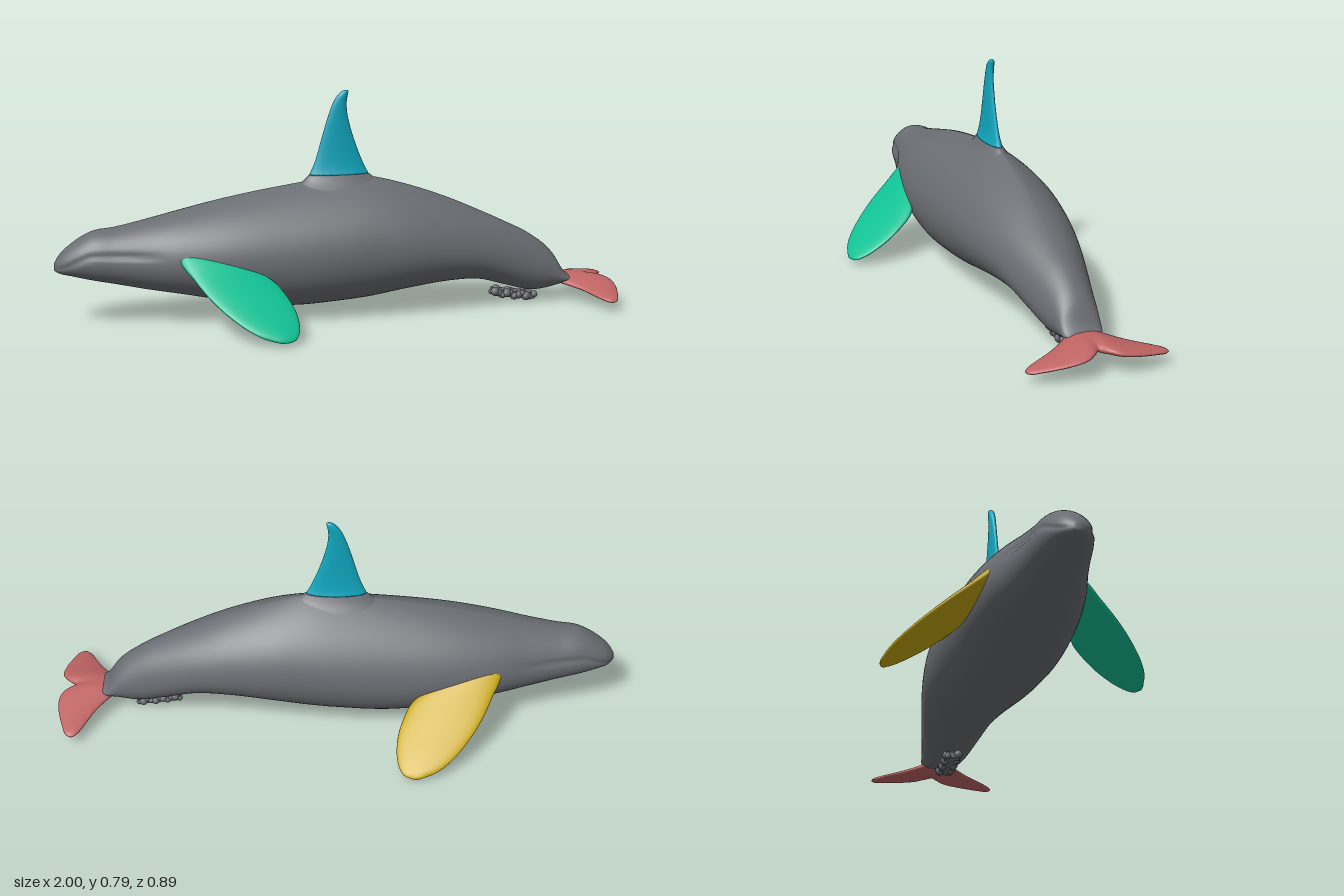
import * as THREE from 'three';

const SKIN = 0x6a6d72;

function part(name, geometry, color) {
  const mesh = new THREE.Mesh(geometry, new THREE.MeshStandardMaterial({ color }));
  mesh.name = name;
  return mesh;
}

// Smoothly interpolates rows of [position, ...values], with several steps per row.
function refine(rows, steps) {
  const size = rows[0].length - 1;
  const keys = rows.map(r => r[0]);
  const spline = new THREE.CubicInterpolant(
    keys, rows.flatMap(r => r.slice(1)), size, new Float64Array(size));
  const out = [];
  for (let i = 0; i < keys.length - 1; i++) {
    for (let s = 0; s < steps; s++) {
      const k = THREE.MathUtils.lerp(keys[i], keys[i + 1], s / steps);
      out.push([k, ...spline.evaluate(k)]);
    }
  }
  out.push(rows[rows.length - 1]);
  return out;
}

// Skins closed rings of equal length, caps both ends and turns the faces outward.
function loft(rings) {
  const n = rings[0].length;
  const points = rings.flat();
  const index = [];
  for (let i = 0; i < rings.length - 1; i++) {
    for (let j = 0; j < n; j++) {
      const a = i * n + j, b = i * n + (j + 1) % n;
      index.push(a, a + n, b, b, a + n, b + n);
    }
  }
  for (const end of [0, rings.length - 1]) {
    const centre = new THREE.Vector3();
    rings[end].forEach(p => centre.addScaledVector(p, 1 / n));
    const c = points.push(centre) - 1;
    for (let j = 0; j < n; j++) {
      const a = end * n + j, b = end * n + (j + 1) % n;
      if (end === 0) index.push(c, a, b);
      else index.push(c, b, a);
    }
  }
  let volume = 0;
  const cross = new THREE.Vector3();
  for (let i = 0; i < index.length; i += 3) {
    cross.crossVectors(points[index[i + 1]], points[index[i + 2]]);
    volume += points[index[i]].dot(cross);
  }
  if (volume < 0) index.reverse();
  const geometry = new THREE.BufferGeometry().setFromPoints(points);
  geometry.setIndex(index);
  geometry.computeVertexNormals();
  return geometry;
}

// A fin from rows of [span, leadingX, trailingX, halfThickness];
// place(x, span, t) turns each outline point into a position.
function fin(rows, steps, place) {
  const sides = 28;
  return loft(refine(rows, steps).map(([span, lead, trail, thick]) =>
    Array.from({ length: sides }, (_, j) => {
      const a = j / sides * Math.PI * 2;
      const x = (lead + trail) / 2 - Math.cos(a) * (trail - lead) / 2;
      return place(x, span, Math.sin(a) * thick);
    })));
}

// Body: x, belly y, back y, half width, sharpness of the back
function bodyGeometry() {
  const rows = refine([
    [-1, 0.195, 0.218, 0.012, 1], [-0.985, 0.186, 0.243, 0.036, 1],
    [-0.94, 0.175, 0.285, 0.066, 1], [-0.87, 0.158, 0.325, 0.09, 1],
    [-0.79, 0.142, 0.337, 0.106, 1], [-0.685, 0.12, 0.36, 0.131, 1.1],
    [-0.57, 0.1, 0.388, 0.164, 1.2], [-0.4, 0.068, 0.427, 0.193, 1.35],
    [-0.2, 0.042, 0.462, 0.205, 1.55], [0, 0.05, 0.487, 0.203, 1.8],
    [0.1, 0.06, 0.485, 0.197, 1.75], [0.22, 0.08, 0.457, 0.188, 1.5],
    [0.385, 0.1, 0.4, 0.163, 1.3], [0.5, 0.099, 0.35, 0.14, 1.2],
    [0.6, 0.072, 0.303, 0.117, 1.1], [0.705, 0.046, 0.248, 0.092, 1.1],
    [0.785, 0.056, 0.18, 0.074, 1], [0.825, 0.07, 0.115, 0.066, 1],
    [0.845, 0.078, 0.098, 0.055, 1]
  ], 5);
  const sides = 72;
  return loft(rows.map(([x, low, high, width, sharp]) => {
    const mid = low + (high - low) * 0.41;
    // Mouth crease fades out towards the cheek
    const mouthY = 0.205 + 0.05 * THREE.MathUtils.smoothstep(x, -1, -0.86);
    const mouth = 0.07 * (1 - THREE.MathUtils.smoothstep(x, -0.76, -0.6));
    return Array.from({ length: sides }, (_, j) => {
      const a = j / sides * Math.PI * 2;
      const c = Math.cos(a), s = Math.sin(a);
      const y = mid + s * (s > 0 ? high - mid : mid - low);
      const fullness = Math.pow(Math.abs(c), s > 0 ? sharp : 0.8);
      const crease = 1 - mouth * Math.exp(-(((y - mouthY) / 0.009) ** 2));
      return new THREE.Vector3(x, y, Math.sign(c) * fullness * width * crease);
    });
  }));
}

// Small lumpy cluster under the tail: a sloping slab set with rows of knobs
function tailCluster() {
  const group = new THREE.Group();
  group.name = 'tailCluster';
  group.add(part('clusterSlab', new THREE.BoxGeometry(0.155, 0.022, 0.054), SKIN));
  for (let i = 0; i < 11; i++) {
    for (const side of [-1, 1]) {
      const r = 0.014 + 0.003 * Math.sin(i * 2.4 + side);
      const knob = part('clusterKnob', new THREE.IcosahedronGeometry(r, 1), SKIN);
      knob.position.set(-0.074 + i * 0.0148, 0.006 * Math.sin(i * 1.9 + side), side * 0.02);
      group.add(knob);
    }
  }
  group.position.set(0.643, 0.031, 0);
  group.rotation.z = -0.12;
  return group;
}

export function createModel() {
  const model = new THREE.Group();
  model.name = 'whale';
  model.add(part('body', bodyGeometry(), SKIN));

  // Dorsal fin on a flared root that blends into the back
  const upright = (x, y, t) => new THREE.Vector3(x, y, t);
  model.add(part('dorsalRoot', fin([
    [0.42, -0.22, 0.22, 0.094], [0.45, -0.172, 0.175, 0.062],
    [0.472, -0.135, 0.135, 0.042], [0.495, -0.11, 0.104, 0.027]
  ], 4, upright), SKIN));
  model.add(part('dorsalFin', fin([
    [0.494, -0.11, 0.104, 0.0272], [0.515, -0.1, 0.092, 0.0215],
    [0.55, -0.086, 0.076, 0.017], [0.62, -0.066, 0.05, 0.0135],
    [0.675, -0.05, 0.034, 0.0125], [0.715, -0.037, 0.026, 0.012],
    [0.755, -0.02, 0.025, 0.012], [0.778, -0.003, 0.029, 0.011],
    [0.788, 0.01, 0.03, 0.007], [0.791, 0.018, 0.027, 0.003]
  ], 4, upright), 0x10a6be));

  // Paddle flippers, spreading outward and down
  const flipperRows = [
    [0.13, -0.59, -0.4, 0.036], [0.165, -0.578, -0.34, 0.036],
    [0.19, -0.565, -0.295, 0.034], [0.21, -0.552, -0.265, 0.031],
    [0.25, -0.53, -0.238, 0.027], [0.29, -0.505, -0.22, 0.024],
    [0.33, -0.474, -0.211, 0.021], [0.38, -0.425, -0.211, 0.018],
    [0.41, -0.386, -0.22, 0.015], [0.433, -0.34, -0.238, 0.011],
    [0.444, -0.295, -0.265, 0.005]
  ];
  for (const [name, side, color] of [['frontFlipper', 1, 0x10c094], ['backFlipper', -1, 0xc8a80e]]) {
    model.add(part(name, fin(flipperRows, 4, (x, z, t) =>
      new THREE.Vector3(x, 0.188 - 0.6 * (z - 0.2) - 0.15 * (x + 0.4) + t, side * z)), color));
  }

  // Tail flukes, one skin from tip to tip with a centre notch
  const half = [
    [0.02, 0.79, 0.968, 0.021], [0.045, 0.8, 0.99, 0.02],
    [0.07, 0.822, 0.998, 0.018], [0.12, 0.86, 0.995, 0.014],
    [0.16, 0.882, 0.985, 0.012], [0.2, 0.902, 0.972, 0.01],
    [0.225, 0.918, 0.962, 0.008], [0.237, 0.929, 0.95, 0.004]
  ];
  const mirrored = half.map(([z, ...rest]) => [-z, ...rest]).reverse();
  model.add(part('tailFlukes', fin([...mirrored, [0, 0.785, 0.945, 0.021], ...half], 4,
    (x, z, t) => new THREE.Vector3(
      x, 0.081 - 0.185 * Math.max(0, Math.abs(z) - 0.03) + t, z)), 0xc06464));

  model.add(tailCluster());
  return model;
}
